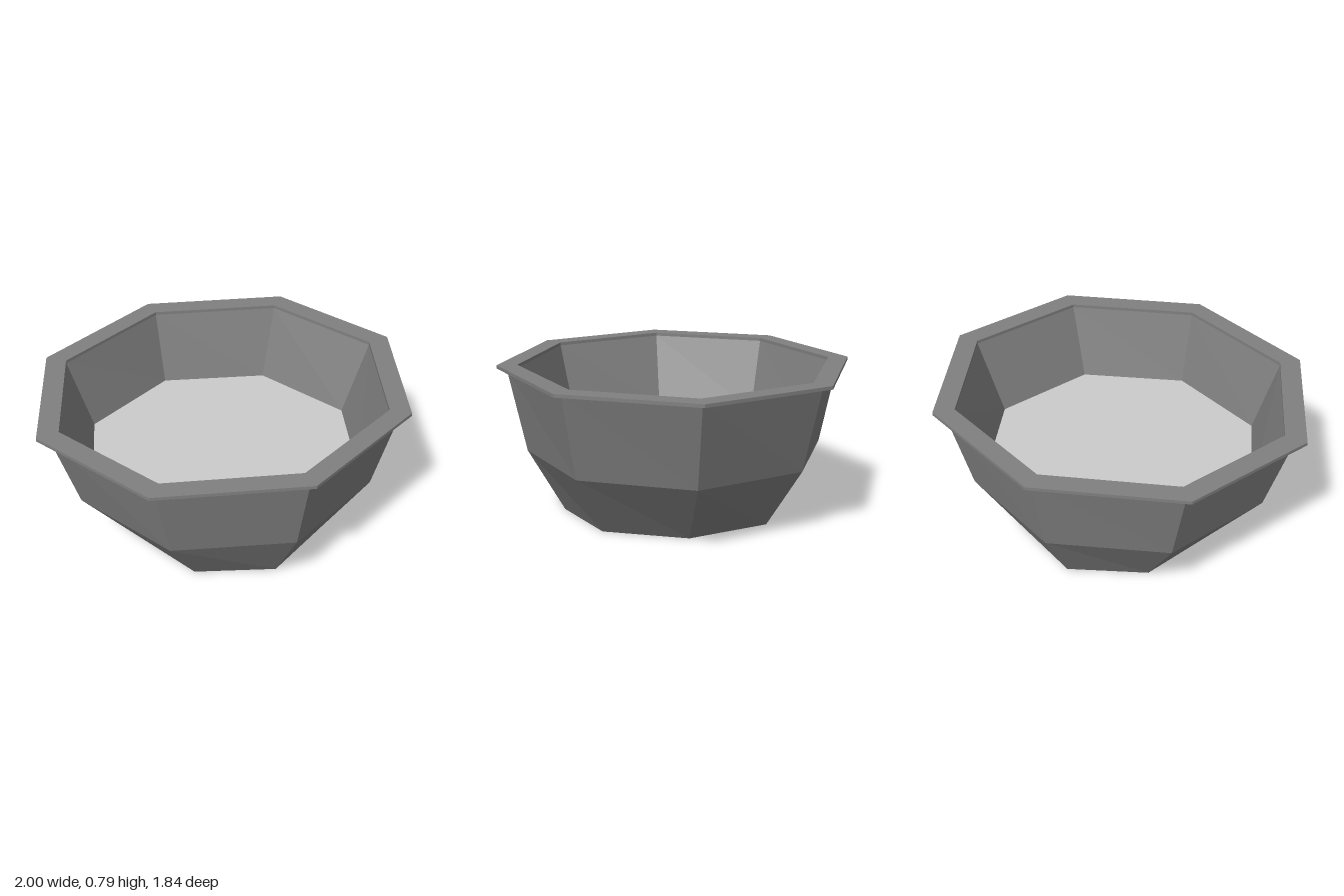
import * as THREE from 'three';

const SIDES = 8;

// Joins elliptical eight-sided rings [radiusX, y, radiusZ] into flat facets.
function loft(name, rings, material) {
  const positions = [];
  const point = ([rx, y, rz], i) => {
    const t = (i / SIDES) * Math.PI * 2;
    return [rx * Math.cos(t), y, rz * Math.sin(t)];
  };
  for (let r = 0; r < rings.length - 1; r++) {
    const a = rings[r], b = rings[r + 1];
    for (let i = 0; i < SIDES; i++) {
      const a0 = point(a, i), a1 = point(a, i + 1);
      const b0 = point(b, i), b1 = point(b, i + 1);
      // A ring of radius 0 is a centre point and needs one triangle only
      if (b[0] > 0) positions.push(...a0, ...b0, ...b1);
      if (a[0] > 0) positions.push(...a0, ...b1, ...a1);
    }
  }
  const geometry = new THREE.BufferGeometry();
  geometry.setAttribute('position', new THREE.Float32BufferAttribute(positions, 3));
  geometry.computeVertexNormals();
  const mesh = new THREE.Mesh(geometry, material);
  mesh.name = name;
  return mesh;
}

export function createModel() {
  const group = new THREE.Group();
  group.name = 'bowl';

  const shell = new THREE.MeshStandardMaterial({ color: 0x808080, flatShading: true });
  const light = new THREE.MeshStandardMaterial({ color: 0xcccccc, flatShading: true });

  const top = 0.785, lip = 0.768, fill = 0.383;

  // Closed base and outer wall, flaring in two steps
  group.add(loft('outerWall', [
    [0, 0, 0],
    [0.535, 0, 0.59],
    [0.805, 0.33, 0.777],
    [0.94, lip, 0.87],
  ], shell));

  // Thin overhanging rim: underside, outer edge, top, inner edge
  group.add(loft('rim', [
    [0.94, lip, 0.87],
    [1, lip, 0.92],
    [1, top, 0.92],
    [0.885, top, 0.815],
    [0.885, lip, 0.815],
  ], shell));

  // Inner wall down to the filling
  group.add(loft('innerWall', [
    [0.885, lip, 0.815],
    [0.74, fill, 0.72],
  ], shell));

  // Flat light surface inside the bowl
  group.add(loft('filling', [
    [0.74, fill, 0.72],
    [0, fill, 0],
  ], light));

  return group;
}
